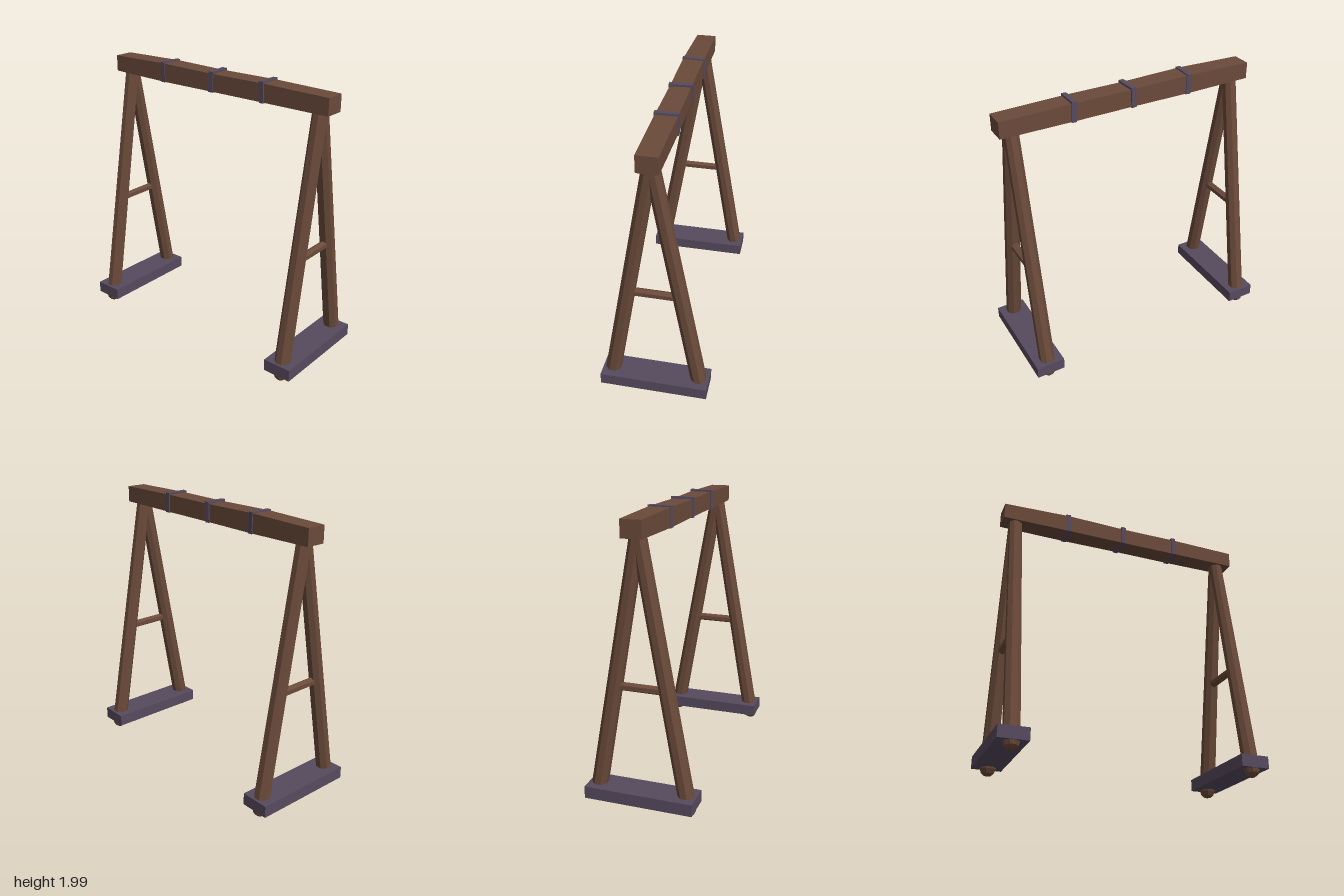
import * as THREE from 'three';

export function createModel() {
  const root = new THREE.Group();
  const wood = new THREE.MeshStandardMaterial({ color: 0x6a4a3a, flatShading: true });
  wood.name = 'brown wood';
  const iron = new THREE.MeshStandardMaterial({ color: 0x564a5e, flatShading: true });
  iron.name = 'purple grey iron';

  function add(parent, name, geometry, material, x = 0, y = 0, z = 0) {
    const mesh = new THREE.Mesh(geometry, material);
    mesh.name = name;
    mesh.position.set(x, y, z);
    parent.add(mesh);
    return mesh;
  }

  // Top beam, hewn slightly uneven: each station is [x, top, bottom, back z, front z]
  const stations = [
    [-0.95, 1.98, 1.862, -0.077, 0.064],
    [-0.45, 1.99, 1.856, -0.077, 0.074],
    [0, 1.983, 1.857, -0.074, 0.07],
    [0.44, 1.985, 1.858, -0.078, 0.07],
    [0.95, 1.976, 1.858, -0.073, 0.07],
  ];
  const beam = new THREE.BoxGeometry(4, 1, 1, 4, 1, 1);
  const p = beam.attributes.position;
  for (let i = 0; i < p.count; i++) {
    const [x, top, bottom, back, front] = stations[Math.round(p.getX(i) + 2)];
    p.setXYZ(i, x, p.getY(i) > 0 ? top : bottom, p.getZ(i) > 0 ? front : back);
  }
  beam.computeVertexNormals();
  add(root, 'topBeam', beam, wood);

  // Metal bands around the beam, a little crooked
  for (const [x, tilt, turn] of [[-0.45, 0.04, -0.05], [-0.004, -0.04, 0.06], [0.435, 0.04, 0]]) {
    const band = add(root, 'beamBand', new THREE.BoxGeometry(0.036, 0.145, 0.162), iron, x, 1.926, -0.003);
    band.rotation.set(0, turn, tilt);
  }

  // Eight-sided leg with a rounded foot
  const profile = [[0, 0], [0.024, 0.004], [0.045, 0.022], [0.057, 0.055], [0.057, 0.2], [0.05, 1.9], [0, 1.9]]
    .map(([r, y]) => new THREE.Vector2(r, y));
  const legGeometry = new THREE.LatheGeometry(profile, 8, Math.PI / 8);
  const lean = Math.atan2(0.335, 1.89);

  // A-shaped stand at each end
  for (const side of [1, -1]) {
    const stand = new THREE.Group();
    stand.name = side > 0 ? 'leftStand' : 'rightStand';
    stand.position.x = side * 0.85;
    root.add(stand);
    for (const end of [1, -1]) {
      const leg = add(stand, end > 0 ? 'frontLeg' : 'backLeg', legGeometry, wood, 0, 0.005, end * 0.335);
      leg.rotation.x = -end * lean;
    }
    add(stand, 'basePlate', new THREE.BoxGeometry(0.21, 0.086, 0.765), iron, 0, 0.105, 0);
    const rung = add(stand, 'crossRung', new THREE.CylinderGeometry(0.03, 0.03, 0.32, 6), wood, 0, 0.872, 0);
    rung.rotation.x = Math.PI / 2;
  }
  return root;
}
